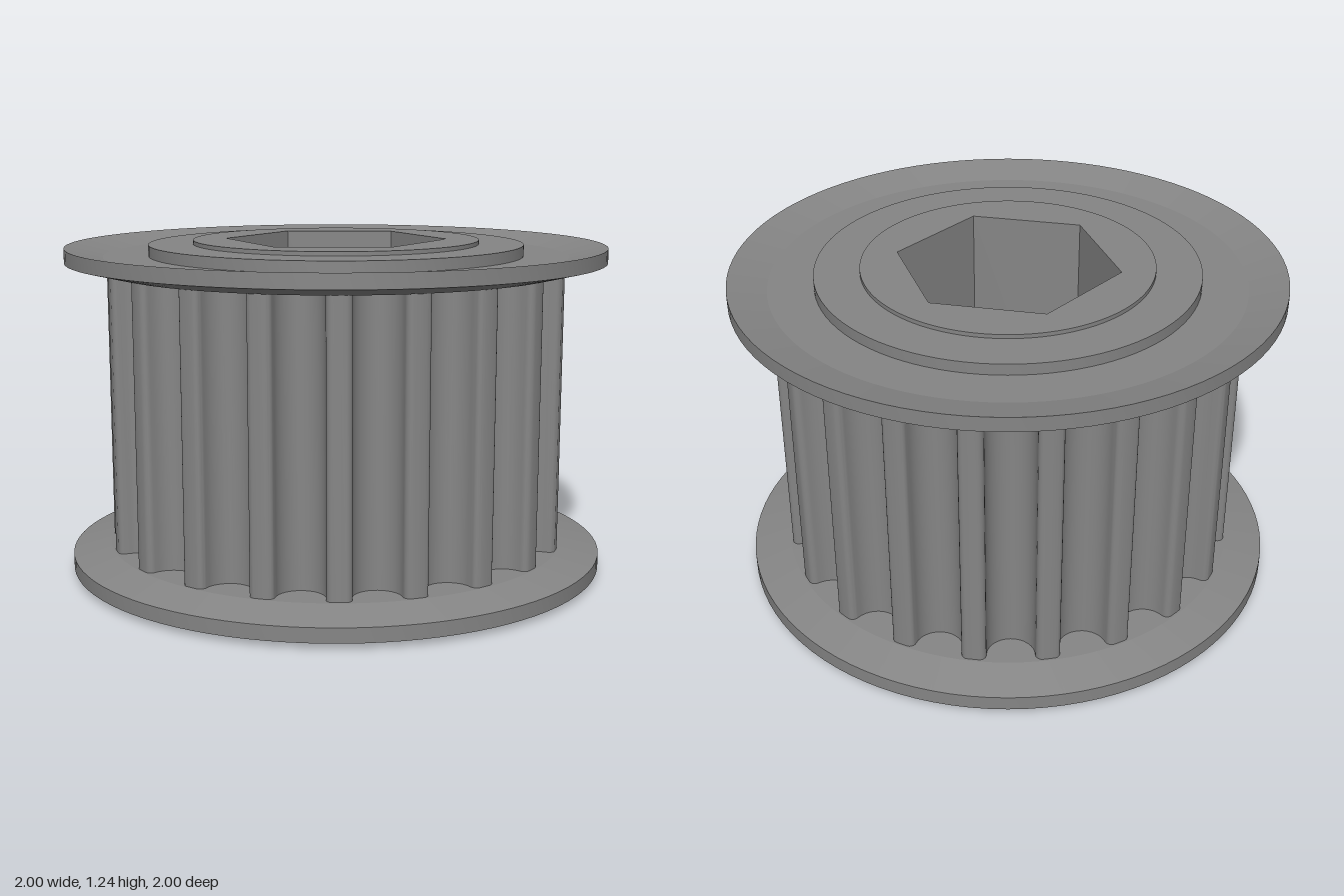
import * as THREE from 'three';
import { toCreasedNormals } from 'three/addons/utils/BufferGeometryUtils.js';

const HEIGHT = 1.236, TEETH = 20, R = 0.852;
const HUB_R = 0.53, LIP = 0.015;

export function createModel() {
  const group = new THREE.Group();
  const material = new THREE.MeshStandardMaterial({ color: 0x858585 });

  const add = (name, geometry, crease) => {
    const mesh = new THREE.Mesh(toCreasedNormals(geometry, crease), material);
    mesh.name = name;
    group.add(mesh);
    return mesh;
  };

  // Extrude a flat outline upwards from y0 to y1
  const prism = (shape, y0, y1) =>
    new THREE.ExtrudeGeometry(shape, { depth: y1 - y0, bevelEnabled: false, curveSegments: 96 })
      .rotateX(-Math.PI / 2)
      .translate(0, y0, 0);

  // Central hub with a hexagonal through bore
  const hub = new THREE.Shape().absarc(0, 0, HUB_R, 0, Math.PI * 2);
  const hex = [];
  for (let i = 0; i < 6; i++) {
    const a = Math.PI / 2 - (i * Math.PI) / 3;
    hex.push(new THREE.Vector2(0.41 * Math.cos(a), 0.41 * Math.sin(a)));
  }
  hub.holes.push(new THREE.Path(hex));
  add('hexBoreHub', prism(hub, LIP, HEIGHT), 0.4);

  // Bottom lip of the hub, cut by a narrow slot from the front corner of the bore
  const slot = 0.05;
  const slotAngle = Math.asin(slot / HUB_R);
  const slotInner = -(0.41 - slot / Math.sqrt(3));
  const lip = new THREE.Shape().absarc(0, 0, HUB_R, -Math.PI / 2 + slotAngle, Math.PI * 1.5 - slotAngle);
  lip.lineTo(-slot, slotInner);
  for (const i of [4, 5, 0, 1, 2]) lip.lineTo(hex[i].x, hex[i].y);
  lip.lineTo(slot, slotInner);
  add('slottedBottomLip', prism(lip, 0, LIP), 0.4);

  // One groove as (sideways, radial) points: rounded tip, wall, round floor, mirrored back
  const groove = [];
  const tip = 0.024, floorR = 0.086, floorCentre = 0.821;
  for (let i = 0; i <= 5; i++) {
    const a = (i / 5) * (Math.PI / 2);
    groove.push([-(floorR + tip) + tip * Math.sin(a), R - 0.007 - tip + tip * Math.cos(a)]);
  }
  for (let i = 0; i <= 16; i++) {
    const a = Math.PI + (i / 16) * Math.PI;
    groove.push([floorR * Math.cos(a), floorCentre + floorR * Math.sin(a)]);
  }
  for (let i = 5; i >= 0; i--) groove.push([-groove[i][0], groove[i][1]]);

  // Toothed barrel, with a groove centred on each axis
  const outline = [];
  for (let k = 0; k < TEETH; k++) {
    const a = (-k / TEETH) * Math.PI * 2;
    const c = Math.cos(a), s = Math.sin(a);
    for (const [t, r] of groove) outline.push(new THREE.Vector2(t * c - r * s, t * s + r * c));
    const land = a - Math.PI / TEETH;
    outline.push(new THREE.Vector2(-R * Math.sin(land), R * Math.cos(land)));
  }
  const barrel = new THREE.Shape(outline);
  barrel.holes.push(new THREE.Path().absarc(0, 0, 0.5, 0, Math.PI * 2, true));
  add('toothedBarrel', prism(barrel, 0.1, HEIGHT - 0.1), 0.6);

  // Flared belt flange with the raised collar inside it, one at each end
  const flange = [
    [0.695, 1.128], [0.86, 1.128], [1, 1.162], [1, 1.215],
    [0.86, 1.18], [0.695, 1.18], [0.695, HEIGHT - LIP], [HUB_R, HEIGHT - LIP],
  ].map(([x, y]) => new THREE.Vector2(x, y));
  add('topFlange', new THREE.LatheGeometry(flange, 96), 0.2);
  const bottom = add('bottomFlange', new THREE.LatheGeometry(flange, 96), 0.2);
  bottom.rotation.x = Math.PI;
  bottom.position.y = HEIGHT;

  return group;
}
